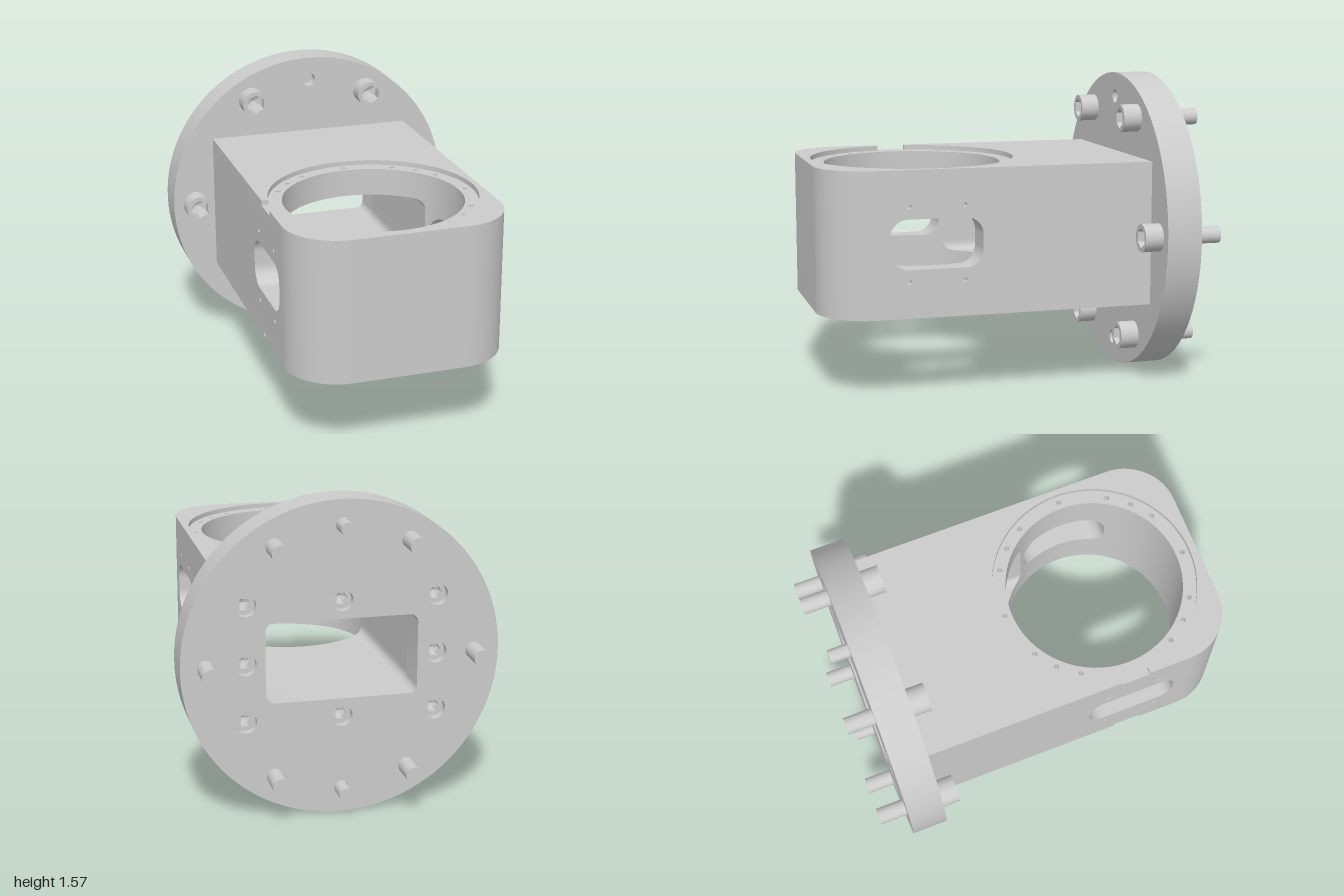
import * as THREE from 'three';
import { toCreasedNormals, mergeGeometries } from 'three/addons/utils/BufferGeometryUtils.js';

const mat = new THREE.MeshStandardMaterial({ color: 0xcccccc, side: THREE.DoubleSide });
const V = (x, y, z) => new THREE.Vector3(x, y, z);

const W = 0.555, YB = 0.42, YT = 1.155, YC = 0.7875;   // body half width, bottom, top, middle
const ZF = 1.0, ZB = -0.68, CORNER = 0.27;             // body front, back, front corner radius
const ZC = 0.437, BORE = 0.455, RECESS = 0.525;        // vertical bore
const RIM = 0.025, DECK = 0.05;                        // recess depth, screw hole depth
const FC = 0.785, FR = 0.785, FZ = -0.86;              // flange centre, radius, back
const WIN = { w: 0.235, h: 0.125, r: 0.09 };           // side window
const DUCT = { w: 0.375, h: 0.2, r: 0.04 };            // rear passage

function mesh(name, geometry, crease = 0.5) {
  const m = new THREE.Mesh(toCreasedNormals(geometry, crease), mat);
  m.name = name;
  return m;
}

function circle(x, y, r, Type = THREE.Path) {
  return new Type().absarc(x, y, r, 0, Math.PI * 2, false);
}

function polygon(r, n) {
  const pts = [];
  for (let i = 0; i < n; i++) pts.push(new THREE.Vector2(r * Math.cos(i / n * Math.PI * 2), r * Math.sin(i / n * Math.PI * 2)));
  return new THREE.Path(pts);
}

function roundRect(cx, cy, { w, h, r }) {
  const p = new THREE.Path();
  p.absarc(cx + w - r, cy + h - r, r, 0, Math.PI / 2, false);
  p.absarc(cx - w + r, cy + h - r, r, Math.PI / 2, Math.PI, false);
  p.absarc(cx - w + r, cy - h + r, r, Math.PI, Math.PI * 1.5, false);
  p.absarc(cx + w - r, cy - h + r, r, Math.PI * 1.5, Math.PI * 2, false);
  p.closePath();
  return p;
}

const extrude = (shape, depth, curveSegments = 24) =>
  new THREE.ExtrudeGeometry(shape, { depth, bevelEnabled: false, curveSegments });

// Ruled surface between two rows of points
function loft(a, b) {
  const pos = [];
  for (let i = 0; i + 1 < a.length; i++)
    for (const p of [a[i], b[i], b[i + 1], a[i], b[i + 1], a[i + 1]]) pos.push(p.x, p.y, p.z);
  const g = new THREE.BufferGeometry();
  g.setAttribute('position', new THREE.Float32BufferAttribute(pos, 3));
  return g;
}

// Plan outline, drawn with shape y = -z
function outline(s) {
  s.lineTo(-W, -ZF + CORNER);
  s.absarc(-W + CORNER, -ZF + CORNER, CORNER, Math.PI, Math.PI * 1.5, false);
  s.absarc(W - CORNER, -ZF + CORNER, CORNER, Math.PI * 1.5, Math.PI * 2, false);
  s.lineTo(W, -ZB);
  s.lineTo(-W, -ZB);
  return s;
}

function plate(shape, depth, y) {
  return extrude(shape, depth, 40).rotateX(-Math.PI / 2).translate(0, y, 0);
}

// Raised rim around the recess, with a notch on one side
function rimShape() {
  const n = 0.075, a = Math.asin(n / RECESS);
  const s = outline(new THREE.Shape().moveTo(-W, -ZC - n));
  s.lineTo(-W, -ZC + n);
  s.absarc(0, -ZC, RECESS, Math.PI - a, -Math.PI + a, true);
  return s;
}

// Recess floor with the bore and its ring of small screw holes
function deckShape() {
  const s = outline(new THREE.Shape().moveTo(-W, 0));
  s.holes.push(circle(0, -ZC, BORE));
  for (let q = 0; q < 4; q++)
    for (const deg of [0, 30, 45, 60]) {
      const a = (q * 90 + deg) * Math.PI / 180;
      if (q === 2 && deg === 0) continue;
      s.holes.push(circle(0.49 * Math.cos(a), -ZC + 0.49 * Math.sin(a), 0.013));
    }
  return s;
}

// Half height of a rounded opening at distance u from its middle
function openHalf(u, { w, h, r }) {
  const e = Math.abs(u) - (w - r);
  if (e >= r) return 0;
  return e <= 0 ? h : h - r + Math.sqrt(r * r - e * e);
}

// Bore wall, cut by the windows and the rear passage
function boreWall(lo, hi) {
  const cuts = [[Math.PI / 2, WIN], [Math.PI, DUCT], [Math.PI * 1.5, WIN]];
  const angles = [];
  for (let i = 0; i <= 120; i++) angles.push(i / 120 * Math.PI * 2);
  for (const [c, o] of cuts)
    for (const side of [-1, 1]) {
      const edge = side * Math.asin(o.w / BORE);
      angles.push(c + edge - 1e-4, c + edge + 1e-4);
      for (let k = 1; k < 6; k++) angles.push(c + side * Math.asin((o.w - o.r * k * k / 36) / BORE));
    }
  angles.sort((a, b) => a - b);
  const rows = [[], [], [], []];
  for (const t of angles) {
    let h = 0;
    for (const [c, o] of cuts)
      if (Math.cos(t - c) > 0) h = Math.max(h, openHalf(BORE * Math.sin(t - c), o));
    [hi, YC + h, YC - h, lo].forEach((y, i) => rows[i].push(V(BORE * Math.sin(t), y, ZC + BORE * Math.cos(t))));
  }
  return mergeGeometries([loft(rows[0], rows[1]), loft(rows[2], rows[3])]);
}

function buildBody() {
  const g = new THREE.Group();
  g.name = 'body';
  const lo = YB + RIM + DECK, hi = YT - RIM - DECK;
  g.add(mesh('topRim', plate(rimShape(), RIM, YT - RIM)));
  g.add(mesh('topDeck', plate(deckShape(), DECK, hi)));
  g.add(mesh('bottomRim', plate(rimShape(), RIM, YB)));
  g.add(mesh('bottomDeck', plate(deckShape(), DECK, YB + RIM)));

  // Rounded front wall
  const front = new THREE.Path();
  front.absarc(-W + CORNER, -ZF + CORNER, CORNER, Math.PI, Math.PI * 1.5, false);
  front.absarc(W - CORNER, -ZF + CORNER, CORNER, Math.PI * 1.5, Math.PI * 2, false);
  const pts = front.getPoints(40);
  g.add(mesh('frontWall', loft(pts.map(p => V(p.x, hi, -p.y)), pts.map(p => V(p.x, lo, -p.y)))));
  g.add(mesh('boreWall', boreWall(lo, hi)));

  // Side walls with window and four small holes, plus the window reveal
  const depthAt = u => Math.sqrt(BORE * BORE - u * u);
  for (const side of [-1, 1]) {
    const zf = ZF - CORNER;
    const s = new THREE.Shape([[ZB, lo], [zf, lo], [zf, hi], [ZB, hi]].map(p => new THREE.Vector2(...p)));
    s.holes.push(roundRect(ZC, YC, WIN));
    for (const z of [-0.14, 0.14]) for (const y of [-0.1875, 0.1875]) s.holes.push(circle(ZC + z, YC + y, 0.012));
    const wall = extrude(s, 0.04).rotateY(-Math.PI / 2).translate(side > 0 ? W : -W + 0.04, 0, 0);
    g.add(mesh('sideWall', wall));
    const loop = roundRect(ZC, YC, WIN).getSpacedPoints(120);
    g.add(mesh('windowReveal', loft(
      loop.map(p => V(side * W, p.y, p.x)),
      loop.map(p => V(side * depthAt(p.x - ZC), p.y, p.x)))));
  }

  // Rear passage from the flange into the bore
  const loop = roundRect(0, YC, DUCT).getSpacedPoints(120);
  g.add(mesh('rearPassage', loft(
    loop.map(p => V(p.x, p.y, ZB)),
    loop.map(p => V(p.x, p.y, ZC - depthAt(p.x))))));
  return g;
}

// Socket head screw along z, head towards +z, base of head at z = 0
function socketScrew(name, r, len, hex, shankR, shankLen) {
  const g = new THREE.Group();
  g.name = name;
  const s = circle(0, 0, r, THREE.Shape);
  s.holes.push(polygon(hex, 6));
  g.add(mesh('head', extrude(s, len, 16)));
  const cone = new THREE.ConeGeometry(hex, len * 0.25, 6, 1, true).rotateX(-Math.PI / 2).rotateZ(Math.PI / 6);
  g.add(mesh('socketFloor', cone.translate(0, 0, len * 0.3), 0.1));
  const shank = new THREE.CylinderGeometry(shankR, shankR, shankLen, 24).rotateX(Math.PI / 2);
  g.add(mesh('shank', shank.translate(0, 0, -shankLen / 2)));
  return g;
}

function buildFlange() {
  const g = new THREE.Group();
  g.name = 'flange';
  const s = circle(0, FC, FR, THREE.Shape);
  s.holes.push(roundRect(0, YC, DUCT));

  // Recessed screws around the rear opening
  for (const x of [-0.47, 0, 0.47])
    for (const y of [-0.29, 0, 0.29]) {
      if (x === 0 && y === 0) continue;
      s.holes.push(circle(x, YC + y, 0.052));
      const screw = socketScrew('recessedScrew', 0.0515, 0.06, 0.032, 0.03, 0.04);
      screw.rotation.y = Math.PI;
      screw.position.set(x, YC + y, -0.76);
      g.add(screw);
    }

  // Dowel pins
  for (const y of [-0.66, 0.66]) {
    s.holes.push(circle(0, FC + y, 0.036));
    const pin = mesh('dowelPin', new THREE.CylinderGeometry(0.035, 0.035, 0.22, 24).rotateX(Math.PI / 2));
    pin.position.set(0, FC + y, -0.85);
    g.add(pin);
  }
  g.add(mesh('flangeDisc', extrude(s, ZB - FZ, 48).translate(0, 0, FZ)));

  // Mounting screws
  for (let i = 0; i < 6; i++) {
    const a = i * Math.PI / 3;
    const screw = socketScrew('mountingScrew', 0.071, 0.095, 0.052, 0.042, 0.32);
    screw.position.set(0.66 * Math.cos(a), FC + 0.66 * Math.sin(a), ZB);
    screw.children.forEach(c => { if (c.name !== 'shank') c.rotation.z = Math.PI / 6; });
    g.add(screw);
  }
  return g;
}

export function createModel() {
  const model = new THREE.Group();
  model.name = 'flangedHousing';
  model.add(buildBody(), buildFlange());
  return model;
}
